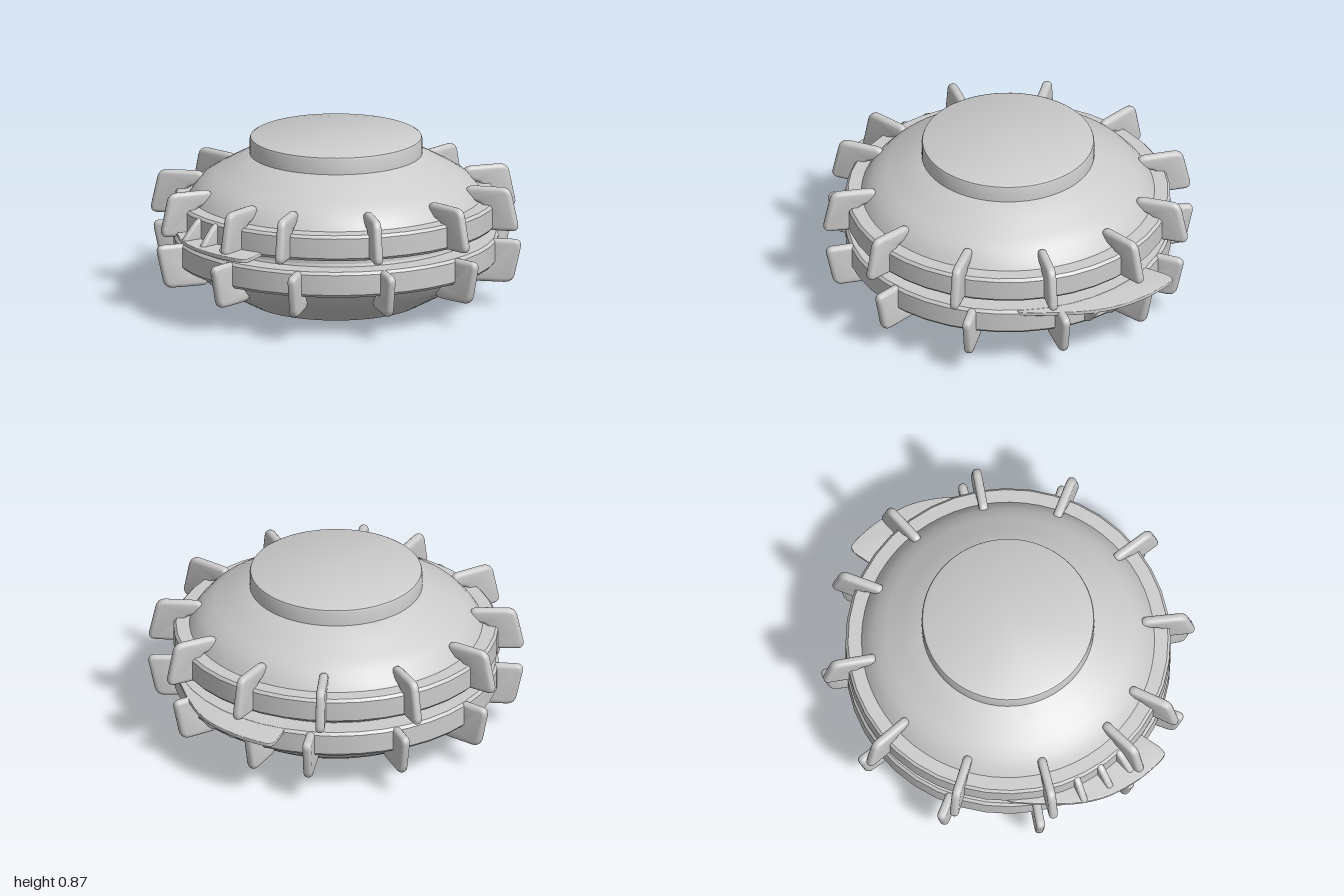
import * as THREE from 'three';
import { toCreasedNormals } from 'three/addons/utils/BufferGeometryUtils.js';

const grey = new THREE.MeshStandardMaterial({ color: 0xcccccc });

function add(parent, name, geometry) {
  const mesh = new THREE.Mesh(geometry, grey);
  mesh.name = name;
  parent.add(mesh);
  return mesh;
}

function lathe(points, segments) {
  const profile = points.map(([r, y]) => new THREE.Vector2(r, y));
  return toCreasedNormals(new THREE.LatheGeometry(profile, segments), 0.5);
}

// Closed outline whose corners are rounded by radius r
function roundedShape(points, r) {
  const p = points.map(([x, y]) => new THREE.Vector2(x, y));
  const shape = new THREE.Shape();
  p.forEach((c, i) => {
    const toward = (q) => c.clone().add(q.clone().sub(c).setLength(Math.min(r, q.distanceTo(c) * 0.45)));
    const a = toward(p[(i + p.length - 1) % p.length]);
    const b = toward(p[(i + 1) % p.length]);
    if (i === 0) shape.moveTo(a.x, a.y);
    else shape.lineTo(a.x, a.y);
    shape.quadraticCurveTo(c.x, c.y, b.x, b.y);
  });
  shape.closePath();
  return shape;
}

// Slab with softened edges, centred on z = 0
function slab(shape, thickness, bevel) {
  const geometry = new THREE.ExtrudeGeometry(shape, {
    depth: thickness - 2 * bevel, curveSegments: 5, bevelEnabled: true,
    bevelThickness: bevel, bevelSize: bevel, bevelOffset: -bevel, bevelSegments: 3,
  });
  geometry.translate(0, 0, bevel - thickness / 2);
  return toCreasedNormals(geometry, 0.7);
}

// Turn a radial part to an angle measured from the front
const aim = (mesh, degrees) => { mesh.rotation.y = THREE.MathUtils.degToRad(degrees - 90); };

// One shell half above the middle plane; side mirrors the lip and its ribs
function createHalf(side) {
  const half = new THREE.Group();

  add(half, 'dome', lathe([
    [0.71, 0], [0.76, 0.16], [0.735, 0.2], [0.69, 0.25], [0.63, 0.288],
    [0.54, 0.338], [0.45, 0.387], [0.44, 0.39], [0, 0.39],
  ], 64));

  add(half, 'rimBand', lathe([
    [0.7, 0.03], [0.825, 0.03], [0.838, 0.045], [0.838, 0.15], [0.825, 0.165], [0.74, 0.168],
  ], 40));

  // Grip fins hooked over the rim
  const finGeometry = slab(roundedShape([
    [0.69, 0.19], [0.69, 0.26], [0.925, 0.26], [0.975, 0.03], [0.79, 0.03], [0.79, 0.17],
  ], 0.045), 0.046, 0.02);
  for (let i = 0; i < 6; i++) {
    for (const s of [-1, 1]) {
      aim(add(half, 'gripFin', finGeometry), s * (9.6 + i * 31.34));
    }
  }

  // Thin lip standing out from the rim
  const lip = roundedShape([
    [0, 0.75], [0, 1.0], [-0.07, 1.0], [-0.22, 0.965], [-0.385, 0.885], [-0.5, 0.78],
    [-0.6, 0.64], [-0.71, 0.46], [-0.6, 0.42], [-0.4, 0.6],
  ].map(([x, z]) => [x * side, z]), 0.07);
  const lipGeometry = slab(lip, 0.022, 0.005);
  lipGeometry.rotateX(Math.PI / 2);
  add(half, 'lip', lipGeometry).position.y = 0.042;

  // Triangular ribs bracing the lip
  const ribGeometry = slab(roundedShape([
    [0.8, 0.04], [0.8, 0.16], [0.85, 0.155], [0.9, 0.1], [0.945, 0.04],
  ], 0.025), 0.036, 0.014);
  for (const angle of [30, 20.5, 12]) {
    aim(add(half, 'lipRib', ribGeometry), -angle * side);
  }
  return half;
}

export function createModel() {
  const model = new THREE.Group();
  model.name = 'finnedDisc';

  const upper = createHalf(1);
  upper.name = 'upperHalf';
  upper.position.y = 0.39;

  const lower = createHalf(-1);
  lower.name = 'lowerHalf';
  lower.position.y = 0.39;
  lower.rotation.x = Math.PI;
  model.add(upper, lower);

  // Recessed ring between the halves
  add(model, 'middleRing', new THREE.CylinderGeometry(0.715, 0.715, 0.1, 64, 1, true)).position.y = 0.39;

  // Round cap on top
  add(model, 'topCap', lathe([
    [0.445, 0.76], [0.445, 0.855], [0.441, 0.866], [0.43, 0.872], [0, 0.872],
  ], 64));
  return model;
}
